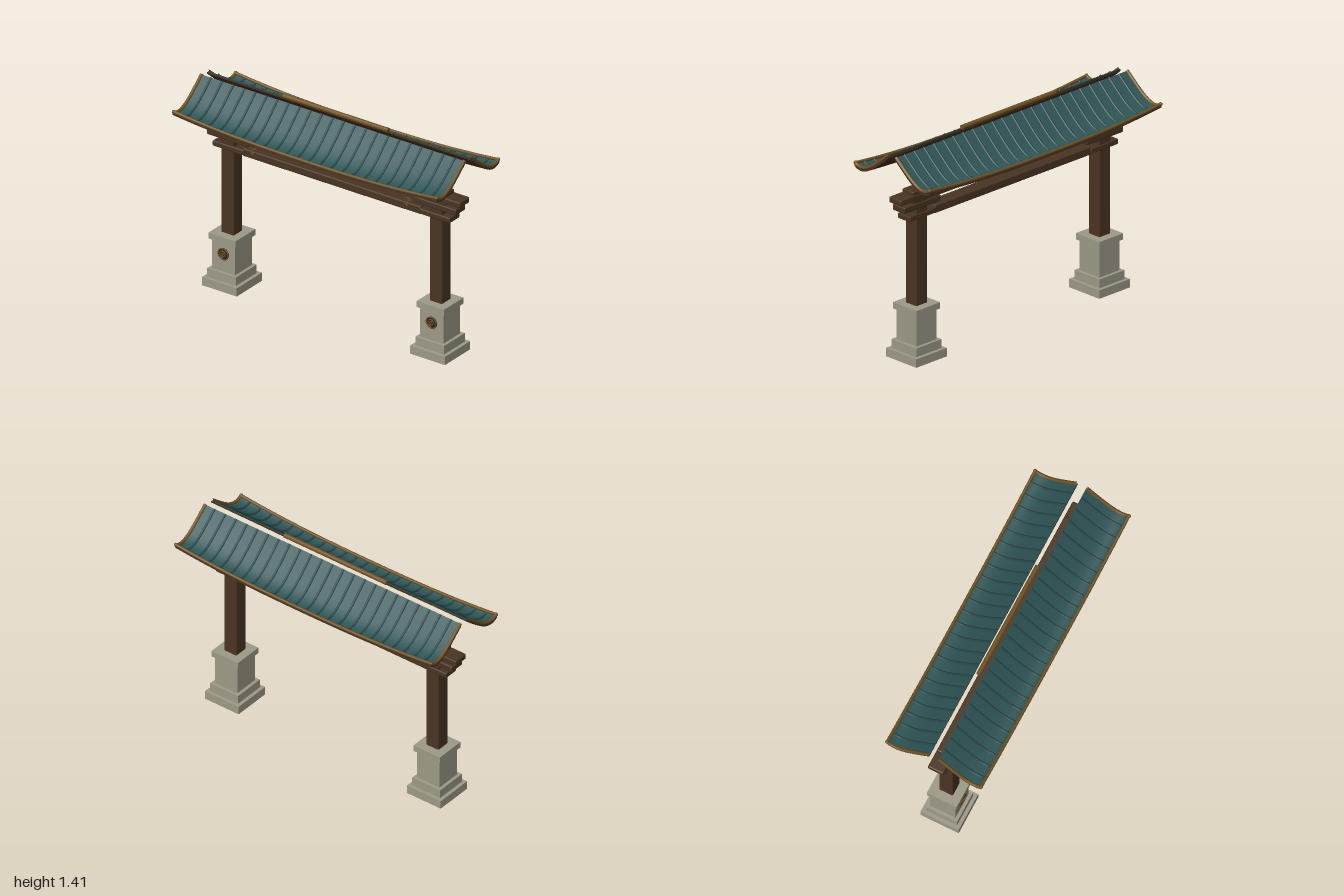
import * as THREE from 'three';
import { RoundedBoxGeometry } from 'three/addons/geometries/RoundedBoxGeometry.js';

const mat = (name, color) => Object.assign(new THREE.MeshStandardMaterial({ color }), { name });

// Height of the roof surface: s runs from ridge (0) to eave (1), eave ends sweep up
const roofX = (s) => 0.03 + 0.295 * s;
const roofY = (s, z) =>
  1.375 - 0.25 * s + 0.115 * s ** 4 - 0.045 * s * (1 - Math.abs(z) ** 2.5);

export function createModel() {
  const stone = mat('stone', 0x9e9a88);
  const wood = mat('darkWood', 0x4a3422);
  const tile = mat('tealTile', 0x2f5556);
  const rib = mat('darkTealRib', 0x27484a);
  const gold = mat('agedGold', 0x6f5122);
  const dark = mat('emblemBacking', 0x2b2218);

  const model = new THREE.Group();
  model.name = 'roofedGate';
  const add = (parent, name, geometry, material) => {
    const mesh = new THREE.Mesh(geometry, material);
    mesh.name = name;
    parent.add(mesh);
    return mesh;
  };
  const group = (name) => {
    const g = new THREE.Group();
    g.name = name;
    model.add(g);
    return g;
  };
  const tube = (points, radius, segments, sides = 8) =>
    new THREE.TubeGeometry(new THREE.CatmullRomCurve3(points), segments, radius, sides);

  // Timber with softened edges, given by its bounds
  const timber = (parent, name, halfX, y0, y1, z0, z1) =>
    add(parent, name, new RoundedBoxGeometry(2 * halfX, y1 - y0, z1 - z0, 2, 0.008), wood)
      .position.set(0, (y0 + y1) / 2, (z0 + z1) / 2);

  // Spiral lying in the plane x = const
  const spiral = (radius, thickness) => {
    const points = [];
    for (let i = 0; i <= 28; i++) {
      const t = i / 28, a = t * Math.PI * 3.5, r = radius * (0.15 + 0.85 * t);
      points.push(new THREE.Vector3(0, r * Math.sin(a), r * Math.cos(a)));
    }
    return tube(points, thickness, 56, 6);
  };

  // Pedestals, posts and stacked brackets at both ends
  for (const end of [1, -1]) {
    const g = group(end > 0 ? 'frontSupport' : 'backSupport');
    const c = 0.783 * end;
    const steps = [
      ['pedestalBase', 0.131, 0, 0.056],
      ['pedestalStep', 0.108, 0.056, 0.114],
      ['pedestalBody', 0.087, 0.114, 0.316],
      ['pedestalCap', 0.102, 0.316, 0.357],
    ];
    for (const [name, half, y0, y1] of steps)
      add(g, name, new THREE.BoxGeometry(2 * half, y1 - y0, 2 * half), stone)
        .position.set(0, (y0 + y1) / 2, c);

    timber(g, 'post', 0.047, 0.35, 1.05, c - 0.047, c + 0.047);

    const block = (name, half, y0, y1, a, b) =>
      timber(g, name, half, y0, y1, Math.min(a * end, b * end), Math.max(a * end, b * end));
    block('lowerBracket', 0.053, 0.928, 0.965, 0.66, 0.893);
    block('middleBracket', 0.053, 0.995, 1.036, 0.625, 0.938);
    block('upperBracket', 0.053, 1.054, 1.092, 0.595, 0.968);

    // Round emblem on the pedestal
    const backing = add(g, 'emblemBacking', new THREE.CylinderGeometry(0.04, 0.04, 0.008, 24), dark);
    backing.rotation.z = Math.PI / 2;
    backing.position.set(-0.089, 0.235, c);
    const ring = add(g, 'emblemRing', new THREE.TorusGeometry(0.037, 0.004, 6, 28), gold);
    ring.rotation.y = Math.PI / 2;
    ring.position.set(-0.093, 0.235, c);
    add(g, 'emblemSpiral', spiral(0.027, 0.004), gold).position.set(-0.093, 0.235, c);

    // Small scroll between the beams
    add(g, 'beamScroll', spiral(0.03, 0.003), gold).position.set(-0.054, 0.99, 0.58 * end);
  }

  // Long beams
  const beams = group('beams');
  timber(beams, 'lowerBeam', 0.047, 0.922, 0.975, -0.67, 0.67);
  timber(beams, 'upperBeam', 0.049, 1.036, 1.116, -0.858, 0.858);

  // Roof layer: a segmented box bent onto the roof surface
  const layer = (side, low, high, halfZ) => {
    const geo = new THREE.BoxGeometry(1, 1, 1, 18, 1, 32);
    const p = geo.attributes.position;
    for (let i = 0; i < p.count; i++) {
      const s = 0.5 + side * p.getX(i);
      const z = 2 * halfZ * p.getZ(i);
      const offset = p.getY(i) > 0 ? high : low;
      p.setXYZ(i, side * roofX(s), roofY(s, z) + offset, z);
    }
    geo.computeVertexNormals();
    return geo;
  };

  for (const side of [1, -1]) {
    const g = group(side > 0 ? 'leftRoof' : 'rightRoof');
    add(g, 'roofBoards', layer(side, -0.018, -0.006, 0.993), wood);
    add(g, 'roofTiles', layer(side, -0.006, 0.002, 0.985), tile);

    // Strip running down the slope at a given z
    const slope = (z, lift) => Array.from({ length: 13 }, (_, i) =>
      new THREE.Vector3(side * roofX(i / 12), roofY(i / 12, z) + lift, z));
    for (let i = -11; i <= 11; i++)
      add(g, 'tileRib', tube(slope(i / 12, 0.002), 0.008, 16, 8), rib);
    for (const z of [-0.988, 0.988])
      add(g, 'gableTrim', tube(slope(z, 0.005), 0.011, 20), gold);

    // Eave trim following the upswept edge
    const eave = Array.from({ length: 17 }, (_, i) => {
      const z = -0.99 + (1.98 * i) / 16;
      return new THREE.Vector3(side * 0.321, roofY(1, z) + 0.004, z);
    });
    add(g, 'eaveTrim', tube(eave, 0.01, 40), gold);
    for (const z of [-0.988, 0.988])
      add(g, 'trimCorner', new THREE.SphereGeometry(0.012, 10, 8), gold)
        .position.set(side * 0.322, roofY(1, z) + 0.005, z);
  }

  // Ridge pole
  const ridge = add(model, 'ridgePole', new THREE.CylinderGeometry(0.015, 0.015, 0.79, 16), gold);
  ridge.rotation.x = Math.PI / 2;
  ridge.position.set(0, 1.398, 0);

  return model;
}
